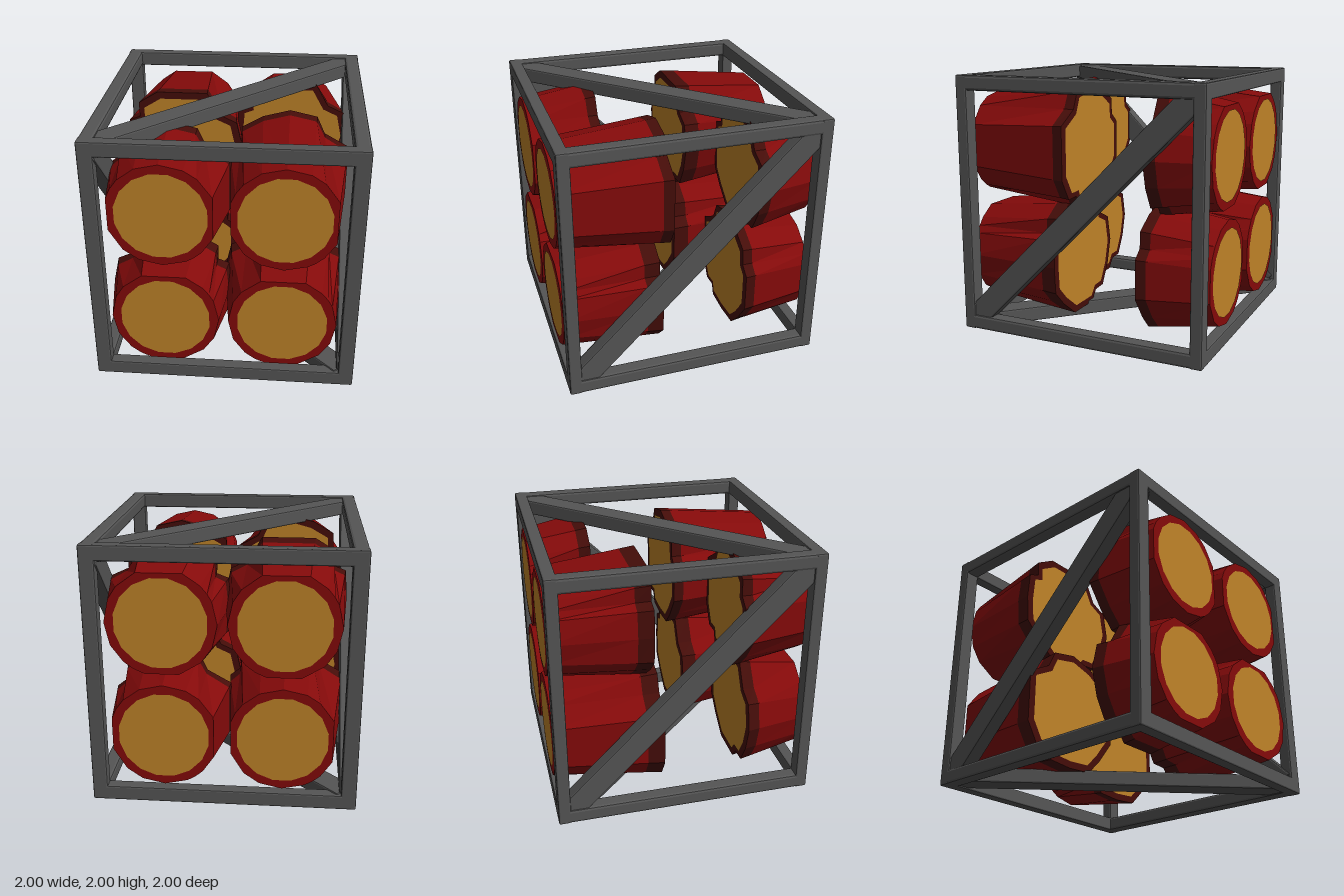
import * as THREE from 'three';
import { RoundedBoxGeometry } from 'three/addons/geometries/RoundedBoxGeometry.js';

const mat = (color) => new THREE.MeshStandardMaterial({ color, flatShading: true, side: THREE.DoubleSide });
const steel = mat(0x555555), red = mat(0x850a0a), brown = mat(0x450d09), tan = mat(0xc08328);

function add(parent, name, geometry, material) {
  const mesh = new THREE.Mesh(geometry, material);
  mesh.name = name;
  parent.add(mesh);
}

// Inner end of a stick: [angle in degrees, radius], with notched corners
const RIM = [[0, .46], [25, .49], [34, .43], [45, .51], [66, .5], [114, .5], [139, .41], [155, .49],
  [180, .49], [205, .48], [227, .5], [240, .43], [252, .48], [288, .48], [315, .46], [335, .49]];
const OUTER_Z = 0.99, OUTER_R = 0.405;

// Cross-section at t: 0 = round outer end, 1 = notched inner end
const section = (t, scale = 1) => RIM.map(([deg, r]) => {
  const a = THREE.MathUtils.degToRad(deg), s = scale * THREE.MathUtils.lerp(OUTER_R, r, t);
  return new THREE.Vector2(Math.cos(a) * s, Math.sin(a) * s);
});

// Wall between two sections, z0 in front of z1
function wall(a, z0, b, z1) {
  const p = [];
  a.forEach((_, i) => {
    const j = (i + 1) % a.length;
    p.push(a[i].x, a[i].y, z0, b[i].x, b[i].y, z1, b[j].x, b[j].y, z1);
    p.push(a[i].x, a[i].y, z0, b[j].x, b[j].y, z1, a[j].x, a[j].y, z0);
  });
  const g = new THREE.BufferGeometry();
  g.setAttribute('position', new THREE.Float32BufferAttribute(p, 3));
  g.computeVertexNormals();
  return g;
}

// End cap; flipped caps face -z
function cap(points, z, flip) {
  const pts = flip ? points.map((p) => new THREE.Vector2(-p.x, p.y)) : points;
  const g = new THREE.ShapeGeometry(new THREE.Shape(pts));
  if (flip) g.rotateY(Math.PI);
  return g.translate(0, 0, z);
}

function makeStick(end, band) {
  const stick = new THREE.Group();
  const t = 1 - band / (OUTER_Z - end);
  const outer = section(0), mid = section(t), inner = section(1);
  add(stick, 'casing', wall(outer, OUTER_Z, mid, end + band), red);
  add(stick, 'innerBand', wall(mid, end + band, inner, end), brown);
  add(stick, 'outerRim', cap(outer, OUTER_Z, false), red);
  add(stick, 'innerRim', cap(inner, end, true), brown);
  add(stick, 'innerFace', cap(section(1, 0.88), end - 0.004, true), tan);
  const disc = new THREE.CircleGeometry(0.34, 16).rotateZ(Math.PI / 16);
  add(stick, 'outerFace', disc.translate(0, 0, OUTER_Z + 0.004), tan);
  return stick;
}

function makeFrame() {
  const frame = new THREE.Group();
  frame.name = 'frame';
  const bar = (name, w, h, d, x, y, z, bevel = 0.012) => {
    const m = new THREE.Mesh(new RoundedBoxGeometry(w, h, d, 1, bevel), steel);
    m.name = name;
    m.position.set(x, y, z);
    frame.add(m);
    return m;
  };
  const T = 0.115, D = 0.095;
  for (const s of [-1, 1]) {
    for (const q of [-1, 1]) {
      bar('post', T, 2, D, s * (1 - T / 2), 1, q * (1 - D / 2));
      bar('crossRail', 2, T, D, 0, 1 + s * (1 - T / 2), q * (1 - D / 2));
      bar('sideRail', T, T, 2, s * (1 - T / 2), 1 + q * (1 - T / 2), 0, 0.02);
    }
    // Diagonal braces on the sides, the top and the bottom
    bar('sideBrace', T, 0.184, 2.6, s * 0.93, 1, 0).rotation.x = s * Math.PI / 4;
    bar('levelBrace', 0.184, T, 2.6, 0, 1 + s * 0.93, 0).rotation.y = -s * Math.PI / 4;
  }
  return frame;
}

export function createModel() {
  const model = new THREE.Group();
  model.add(makeFrame());
  // Sticks: x side, y side, z side, inner end depth, band width
  const layout = [
    [1, 1, 1, .15, .08], [1, -1, 1, .23, .12], [-1, 1, 1, .44, .08], [-1, -1, 1, .51, .09],
    [-1, -1, -1, .15, .13], [-1, 1, -1, .23, .12], [1, -1, -1, .44, .08], [1, 1, -1, .51, .09],
  ];
  for (const [sx, sy, sz, end, band] of layout) {
    const stick = makeStick(end, band);
    stick.name = 'stick';
    stick.position.set(sx * 0.44, 1 + sy * 0.44, 0);
    stick.rotation.set(0, sz < 0 ? Math.PI : 0, sy * sz > 0 ? -Math.PI / 2 : 0);
    model.add(stick);
  }
  return model;
}
